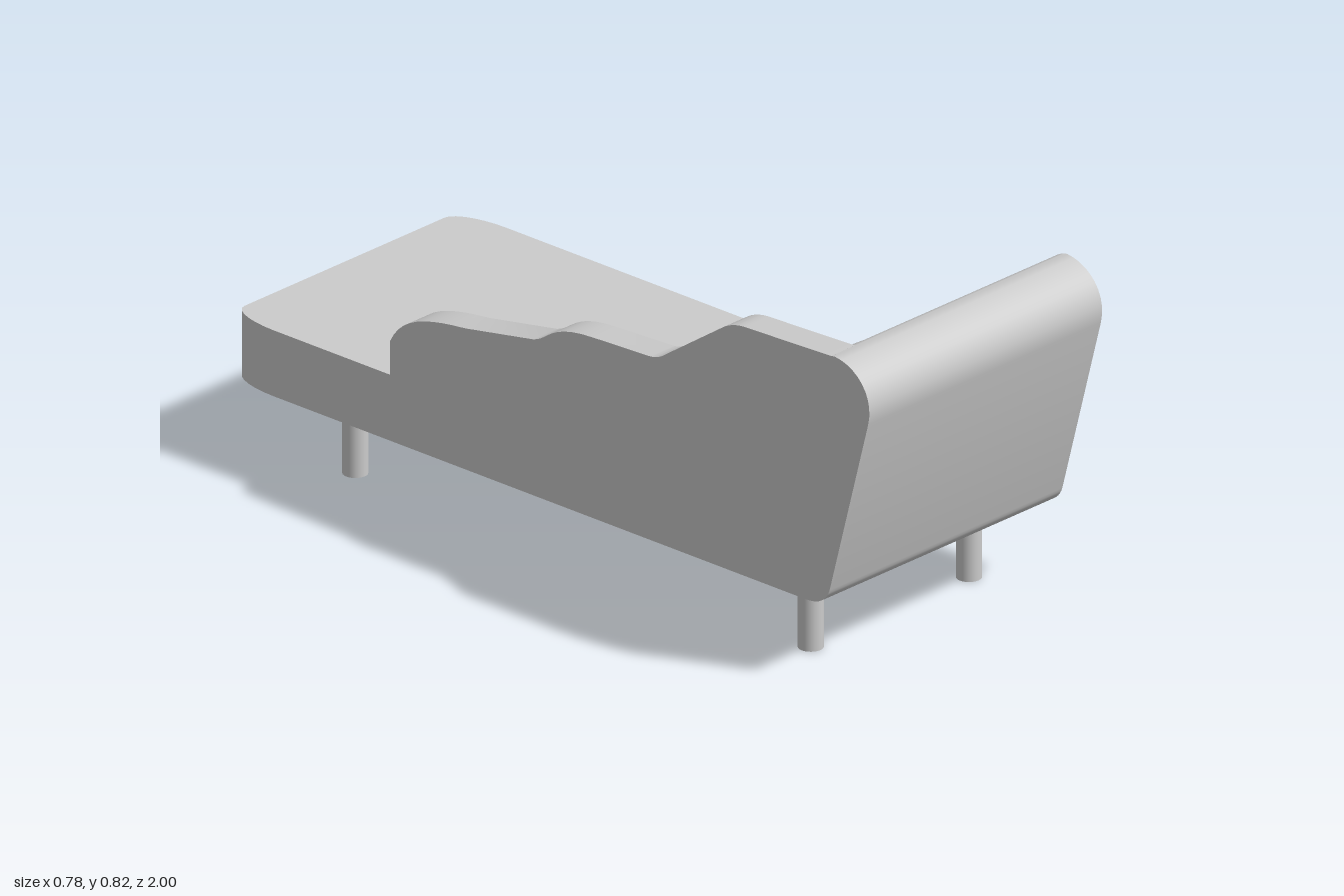
import * as THREE from 'three';
import { toCreasedNormals } from 'three/addons/utils/BufferGeometryUtils.js';

const HALF = 0.39;   // half width of the couch
const SEAT = 0.355;  // seat height
const BASE = 0.19;   // underside height

const material = new THREE.MeshStandardMaterial({ color: 0xcccccc });

function addMesh(parent, name, geometry) {
  const mesh = new THREE.Mesh(geometry, material);
  mesh.name = name;
  parent.add(mesh);
  return mesh;
}

// Seat and sloping backrest: one side profile (z, y) swept across the width
function bodyGeometry() {
  const s = new THREE.Shape();
  s.moveTo(-1, BASE);
  s.lineTo(0.8, BASE);
  s.quadraticCurveTo(0.86, BASE, 0.875, 0.235);
  s.lineTo(0.995, 0.685);
  s.bezierCurveTo(1.015, 0.76, 0.96, 0.82, 0.89, 0.825);
  s.quadraticCurveTo(0.85, 0.82, 0.82, 0.77);
  s.lineTo(0.69, 0.59);
  s.bezierCurveTo(0.58, 0.44, 0.53, 0.375, 0.42, 0.37);
  s.quadraticCurveTo(0.3, SEAT, 0.15, SEAT);
  s.lineTo(-1, SEAT);
  s.closePath();
  const steps = 15, last = (steps - 1) / 2;
  const geo = new THREE.ExtrudeGeometry(s, { depth: 1, steps, bevelEnabled: false, curveSegments: 10 });
  // Space the layers so that the foot end gets rounded corners
  const p = geo.attributes.position;
  for (let i = 0; i < p.count; i++) {
    const k = Math.round(p.getZ(i) * steps);
    const a = (Math.min(k, steps - k) / last) * Math.PI / 2;
    const x = HALF - 0.055 * (1 - Math.cos(a));
    p.setZ(i, k <= last ? -x : x);
    if (p.getX(i) < -0.99) p.setX(i, -0.86 - 0.14 * Math.sin(a));
  }
  geo.rotateY(-Math.PI / 2);
  return toCreasedNormals(geo, 0.6);
}

// Single stepped, wavy arm panel that runs along one side
function armGeometry() {
  const s = new THREE.Shape();
  s.moveTo(-0.495, SEAT - 0.01);
  s.lineTo(-0.495, 0.44);
  s.bezierCurveTo(-0.46, 0.51, -0.39, 0.53, -0.26, 0.543);
  s.lineTo(-0.05, 0.58);
  s.bezierCurveTo(0, 0.592, 0, 0.638, 0.14, 0.642);
  s.lineTo(0.31, 0.649);
  s.quadraticCurveTo(0.34, 0.65, 0.365, 0.67);
  s.lineTo(0.54, 0.79);
  s.quadraticCurveTo(0.57, 0.811, 0.61, 0.813);
  s.lineTo(0.88, 0.823);
  s.lineTo(0.86, 0.76);
  s.lineTo(0.6, 0.38);
  s.lineTo(0.42, SEAT - 0.01);
  s.closePath();
  const geo = new THREE.ExtrudeGeometry(s, { depth: 0.08, bevelEnabled: false, curveSegments: 10 });
  geo.rotateY(-Math.PI / 2).translate(-HALF + 0.08, 0, 0);
  return toCreasedNormals(geo, 0.6);
}

// One half of the pillow: a sheet with pinched edges that swells in the middle
function pillowHalf() {
  const geo = new THREE.PlaneGeometry(2, 2, 32, 24);
  const p = geo.attributes.position;
  for (let i = 0; i < p.count; i++) {
    const u = p.getX(i), v = p.getY(i);
    const du = Math.max(0, 1 - u * u), dv = Math.max(0, 1 - v * v);
    p.setXYZ(i,
      0.3 * u * (1 - 0.2 * dv * u * u) * (1 - 0.03 * v ** 8),
      0.17 * v * (1 - 0.06 * du * v * v) * (1 - 0.04 * u ** 8),
      0.105 * Math.pow(du * dv, 0.6));
  }
  geo.computeVertexNormals();
  return geo;
}

export function createModel() {
  const model = new THREE.Group();
  model.name = 'chaiseLongue';

  addMesh(model, 'seatAndBackrest', bodyGeometry());
  addMesh(model, 'armPanel', armGeometry());

  // Pillow leaning on the backrest
  const pillow = new THREE.Group();
  pillow.name = 'pillow';
  const half = pillowHalf();
  addMesh(pillow, 'pillowFront', half);
  addMesh(pillow, 'pillowBack', half).rotation.y = Math.PI;
  pillow.position.set(0.035, 0.498, 0.575);
  pillow.rotation.set(0.75, Math.PI, 0);
  model.add(pillow);

  // Four round legs
  const legGeo = new THREE.CylinderGeometry(0.03, 0.03, BASE, 24);
  for (const [end, z] of [['head', 0.7], ['foot', -0.72]]) {
    for (const [side, x] of [['Left', 0.265], ['Right', -0.265]]) {
      addMesh(model, `${end}${side}Leg`, legGeo).position.set(x, BASE / 2, z);
    }
  }
  return model;
}
